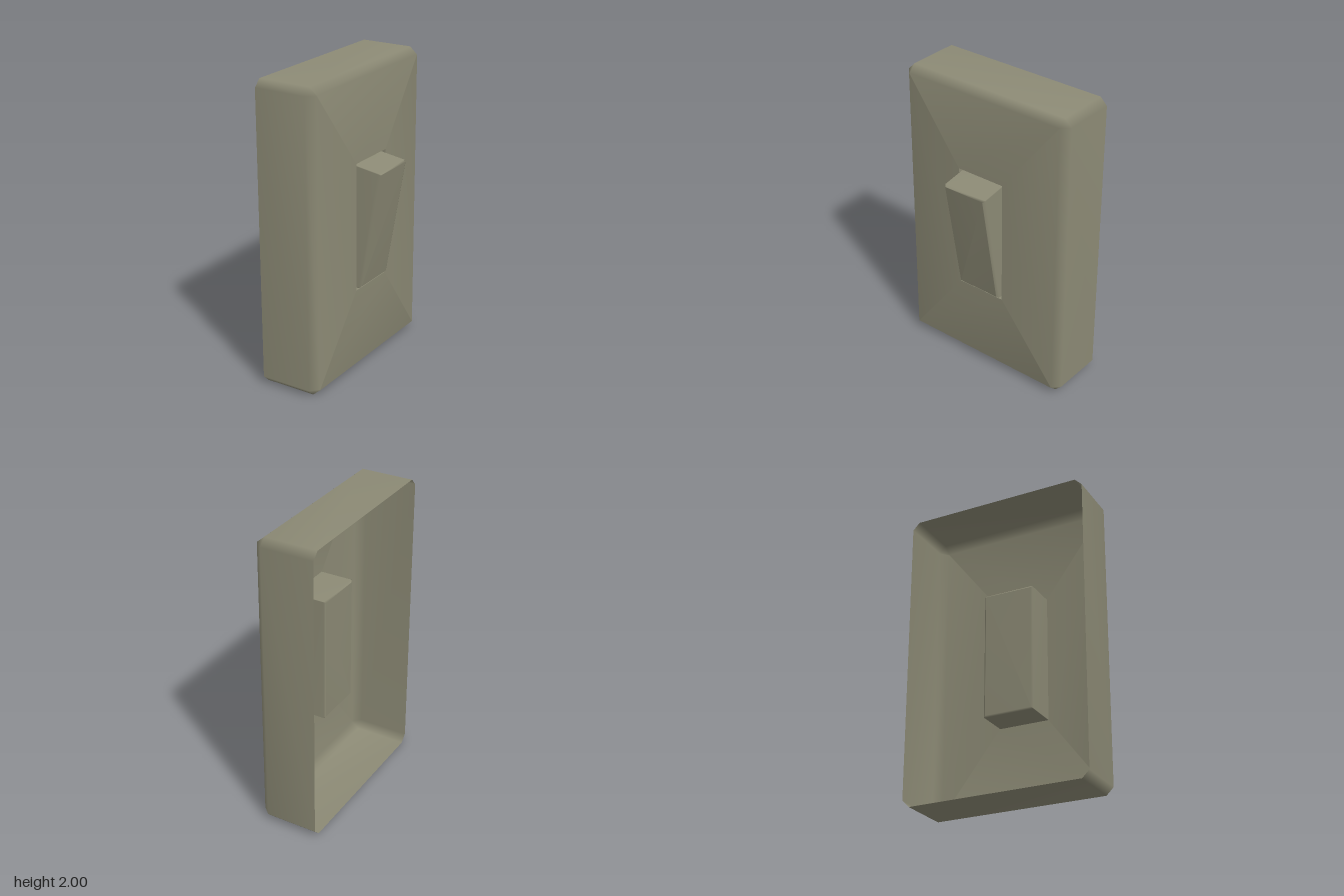
import * as THREE from 'three';

// Rectangle with clipped corners in the y-z plane, counter-clockwise seen from +x.
// x runs linearly from xLow (at y0) to xHigh (at y1), so sections may be tilted.
function section(xLow, xHigh, halfZ, y0, y1, clip) {
  const yz = [
    [y1, -halfZ + clip], [y1, halfZ - clip],
    [y1 - clip, halfZ], [y0 + clip, halfZ],
    [y0, halfZ - clip], [y0, -halfZ + clip],
    [y0 + clip, -halfZ], [y1 - clip, -halfZ],
  ];
  return yz.map(([y, z]) => [xLow + (xHigh - xLow) * (y - y0) / (y1 - y0), y, z]);
}

// Smooth skin through the sections, optionally closed at the last one
function loft(sections, capped) {
  const n = 8, index = [];
  for (let k = 0; k < sections.length - 1; k++) {
    for (let i = 0; i < n; i++) {
      const j = (i + 1) % n, a = k * n, b = a + n;
      index.push(a + i, a + j, b + j, a + i, b + j, b + i);
    }
  }
  if (capped) {
    const e = (sections.length - 1) * n;
    for (let i = 1; i < n - 1; i++) index.push(e, e + i, e + i + 1);
  }
  const geo = new THREE.BufferGeometry();
  geo.setAttribute('position', new THREE.Float32BufferAttribute(sections.flat(2), 3));
  geo.setIndex(index);
  geo.computeVertexNormals();
  return geo;
}

export function createModel() {
  const group = new THREE.Group();
  const plastic = new THREE.MeshStandardMaterial({ color: 0x8c8a75, side: THREE.DoubleSide });
  plastic.name = 'olive grey plastic';

  const add = (name, sections, capped) => {
    const mesh = new THREE.Mesh(loft(sections, capped), plastic);
    mesh.name = name;
    group.add(mesh);
  };

  // Hollow housing, open at the back, with a slightly raised face around the opening
  add('housing', [
    section(-0.29, -0.29, 0.622, 0, 2, 0.047),
    section(0.06, 0.06, 0.622, 0, 2, 0.047),
    section(0.112, 0.112, 0.575, 0.045, 1.955, 0.004),
    section(0.125, 0.125, 0.172, 0.578, 1.43, 0.002),
  ], false);

  // Pocket behind the opening
  add('socket', [
    section(0.125, 0.125, 0.172, 0.578, 1.43, 0.002),
    section(-0.09, -0.09, 0.172, 0.578, 1.43, 0.002),
    section(-0.10, -0.10, 0.162, 0.588, 1.42, 0.002),
  ], true);

  // Tilted rocker with softened front edges
  add('rocker', [
    section(0.03, 0.03, 0.161, 0.588, 1.425, 0.003),
    section(0.135, 0.27, 0.161, 0.593, 1.39, 0.004),
    section(0.15, 0.285, 0.148, 0.604, 1.38, 0.003),
  ], true);

  return group;
}
